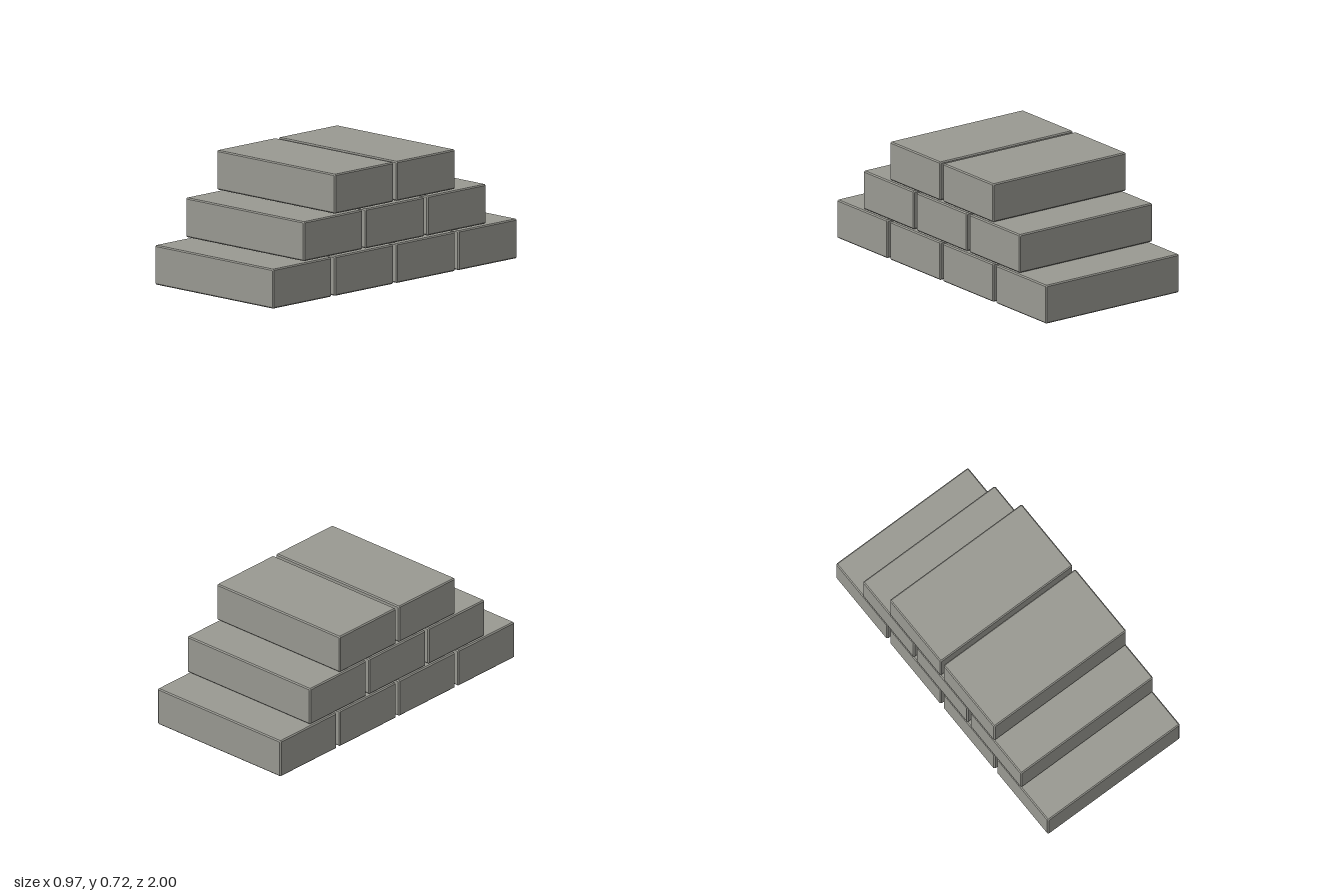
import * as THREE from 'three';

// Brick size and spacing
const LENGTH = 0.966, HEIGHT = 0.233, DEPTH = 0.482, BEVEL = 0.007;
const PITCH_Z = 0.506, PITCH_Y = 0.2425;

// Box with flat chamfers on all its edges, centred on the origin
function chamferedBox(width, height, depth, bevel) {
  const x = width / 2, y = height / 2, b = bevel;
  const outline = new THREE.Shape([
    [x - b, -y], [x, b - y], [x, y - b], [x - b, y],
    [b - x, y], [-x, y - b], [-x, b - y], [b - x, -y],
  ].map(([px, py]) => new THREE.Vector2(px, py)));
  return new THREE.ExtrudeGeometry(outline, {
    depth: depth - 2 * b,
    bevelSize: b,
    bevelThickness: b,
    bevelOffset: -b,
    bevelSegments: 1,
  }).center();
}

export function createModel() {
  const model = new THREE.Group();
  model.name = 'brickStack';

  const material = new THREE.MeshStandardMaterial({ color: 0x999992 });
  const brickGeometry = chamferedBox(LENGTH, HEIGHT, DEPTH, BEVEL);

  // Three courses of 4, 3 and 2 bricks, each offset by half a brick
  [4, 3, 2].forEach((count, row) => {
    const course = new THREE.Group();
    course.name = `course${row + 1}`;
    course.position.y = HEIGHT / 2 + row * PITCH_Y;
    for (let i = 0; i < count; i++) {
      const brick = new THREE.Mesh(brickGeometry, material);
      brick.name = `brick${i + 1}`;
      brick.position.z = ((count - 1) / 2 - i) * PITCH_Z;
      course.add(brick);
    }
    model.add(course);
  });

  return model;
}
